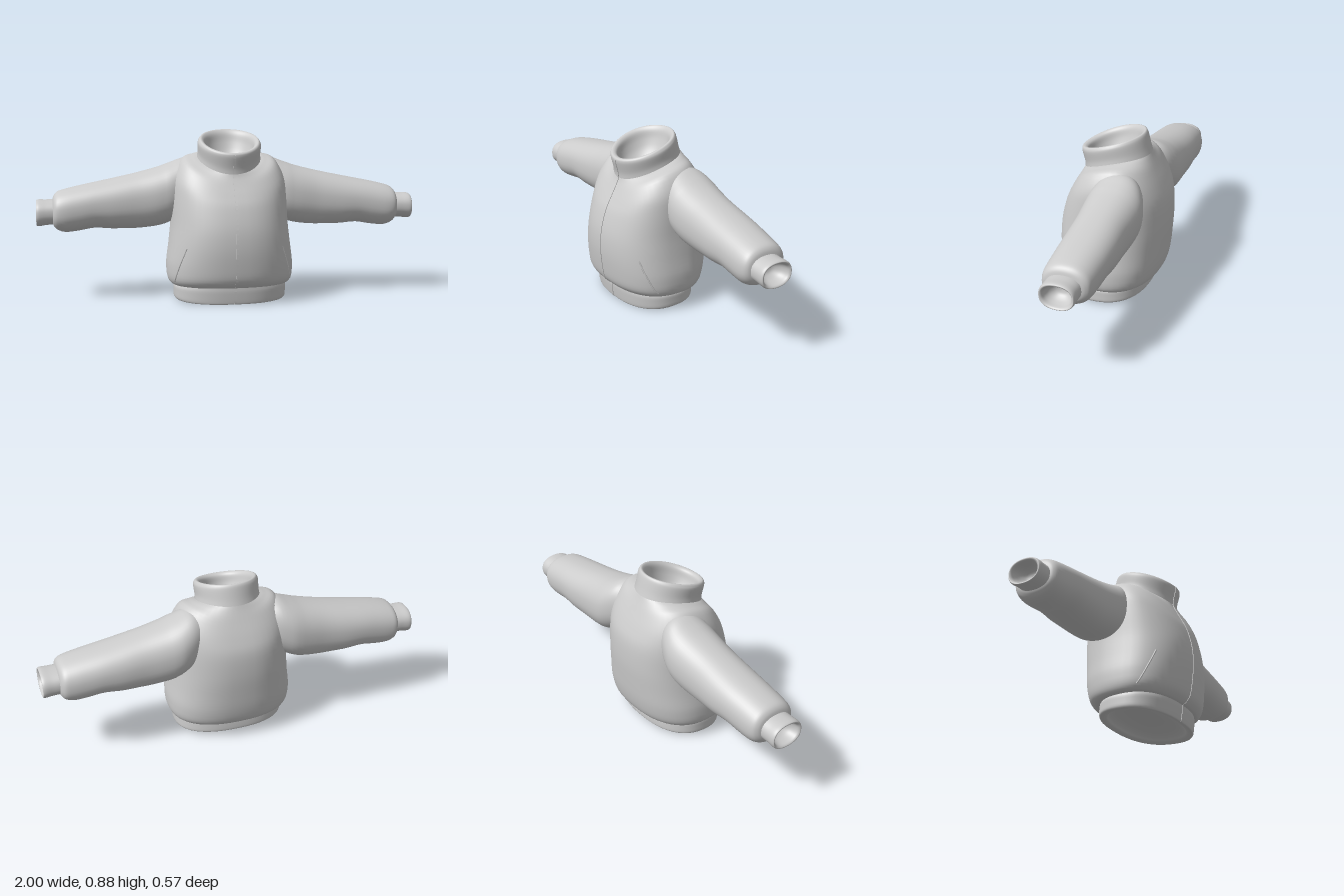
import * as THREE from 'three';

const SEG = 48, SUB = 4;
const spow = (v, n) => Math.sign(v) * Math.pow(Math.abs(v), 2 / n);

// Smooth in-between rings, never overshooting the given ones
function dense(rings) {
  const out = [];
  for (let i = 0; i < rings.length - 1; i++) {
    const a = rings[Math.max(i - 1, 0)], b = rings[i], c = rings[i + 1], d = rings[Math.min(i + 2, rings.length - 1)];
    for (let k = 0; k < SUB; k++) {
      const t = k / SUB;
      out.push(b.map((p, j) => {
        const v = p + 0.5 * t * (c[j] - a[j] + t * (2 * a[j] - 5 * p + 4 * c[j] - d[j] + t * (3 * (p - c[j]) + d[j] - a[j])));
        return Math.min(Math.max(v, Math.min(p, c[j])), Math.max(p, c[j]));
      }));
    }
  }
  out.push(rings[rings.length - 1]);
  return out;
}

// Body ring: half width, front z, back z, front y, back y, side lift, roundness
function bodyPoint([w, zF, zB, yF, yB, lift, n], a) {
  const sx = spow(Math.sin(a), n), sz = spow(Math.cos(a), n), t = (1 - sz) / 2;
  return [w * sx, yF + (yB - yF) * t + lift * sx * sx, zF + (zB - zF) * t];
}

// Sleeve ring: x, top y, bottom y, front z, back z
function sleevePoint([x, yT, yB, zF, zB], a) {
  const cy = spow(Math.cos(a), 2.3), cz = spow(Math.sin(a), 2.3);
  return [x, (yT + yB) / 2 + cy * (yT - yB) / 2, (zF + zB) / 2 + cz * (zF - zB) / 2];
}

// Skin of closed loops; side = -1 mirrors in x
function loft(rings, point, side = 1) {
  const pos = [], idx = [], rows = dense(rings);
  rows.forEach((r) => {
    for (let j = 0; j < SEG; j++) {
      const p = point(r, (j / SEG) * Math.PI * 2);
      pos.push(p[0] * side, p[1], p[2]);
    }
  });
  for (let i = 0; i < rows.length - 1; i++) {
    for (let j = 0; j < SEG; j++) {
      const a = i * SEG + j, b = i * SEG + (j + 1) % SEG, c = a + SEG, d = b + SEG;
      if (side > 0) idx.push(a, b, c, b, d, c);
      else idx.push(a, c, b, b, c, d);
    }
  }
  const g = new THREE.BufferGeometry();
  g.setAttribute('position', new THREE.Float32BufferAttribute(pos, 3));
  g.setIndex(idx);
  g.computeVertexNormals();
  return g;
}

// Hollow inside an opening, shrinking from the rim to its deepest point
const steps = [[0.92, 0.1], [0.85, 0.35], [0.7, 0.65], [0.4, 0.92], [0, 1]];
const bodyBowl = ([w, zF, zB, yF, yB, lift, n], depth) => steps.map(([s, d]) => {
  const z = (zF + zB) / 2, y = (yF + yB) / 2;
  return [w * s, z + (zF - z) * s, z + (zB - z) * s, y + (yF - y) * s + depth * d, y + (yB - y) * s + depth * d, lift * s, n];
});
const cuffBowl = ([x, yT, yB, zF, zB], depth) => steps.map(([s, d]) => {
  const y = (yT + yB) / 2, z = (zF + zB) / 2;
  return [x - depth * d, y + (yT - y) * s, y + (yB - y) * s, z + (zF - z) * s, z + (zB - z) * s];
});

export function createModel() {
  const jacket = new THREE.Group();
  jacket.name = 'jacket';
  const fabric = new THREE.MeshStandardMaterial({ color: 0xcccccc });
  fabric.name = 'grey fabric';
  const add = (name, geometry) => {
    const m = new THREE.Mesh(geometry, fabric);
    m.name = name;
    jacket.add(m);
  };

  // Waistband with a hollow underside
  const hemRim = [0.275, 0.195, -0.172, 0.002, 0.024, 0, 2.4];
  const hem = [
    ...bodyBowl(hemRim, 0.06).reverse(), hemRim,
    [0.288, 0.207, -0.185, 0.002, 0.024, 0, 2.4],
    [0.296, 0.212, -0.19, 0.02, 0.036, 0, 2.4],
    [0.296, 0.218, -0.189, 0.07, 0.075, 0, 2.4],
    [0.290, 0.218, -0.187, 0.09, 0.088, 0, 2.4],
  ];
  add('waistband', loft(hem, bodyPoint));

  // Torso, bulging over the waistband and closing to the neck
  const torso = [
    hem[hem.length - 1],
    [0.312, 0.235, -0.215, 0.096, 0.092, 0, 2.4],
    [0.328, 0.262, -0.245, 0.13, 0.125, 0, 2.4],
    [0.331, 0.276, -0.264, 0.2, 0.2, 0, 2.4],
    [0.318, 0.285, -0.275, 0.3, 0.3, 0, 2.4],
    [0.306, 0.279, -0.283, 0.4, 0.42, 0, 2.4],
    [0.300, 0.253, -0.277, 0.5, 0.54, 0.03, 2.4],
    [0.288, 0.225, -0.25, 0.56, 0.62, 0.06, 2.4],
    [0.245, 0.198, -0.212, 0.61, 0.7, 0.075, 2.3],
    [0.195, 0.178, -0.188, 0.65, 0.75, 0.045, 2.15],
    [0.166, 0.171, -0.177, 0.67, 0.775, 0.025, 2],
  ];
  add('torso', loft(torso, bodyPoint));

  // Standing collar, higher at the back
  const collarRim = [0.140, 0.166, -0.130, 0.778, 0.876, 0.008, 2];
  const collar = [
    torso[torso.length - 1],
    [0.163, 0.174, -0.168, 0.7, 0.805, 0.02, 2],
    [0.165, 0.187, -0.155, 0.75, 0.855, 0.012, 2],
    [0.160, 0.189, -0.148, 0.77, 0.874, 0.008, 2],
    [0.151, 0.180, -0.140, 0.78, 0.881, 0.008, 2],
    collarRim, ...bodyBowl(collarRim, -0.16),
  ];
  add('collar', loft(collar, bodyPoint));

  // Sleeves and cuffs
  const sleeve = [
    [0.14, 0.70, 0.50, 0.0, -0.16],
    [0.22, 0.737, 0.45, 0.04, -0.21],
    [0.30, 0.714, 0.405, 0.062, -0.235],
    [0.37, 0.69, 0.383, 0.064, -0.232],
    [0.48, 0.662, 0.372, 0.058, -0.222],
    [0.60, 0.636, 0.372, 0.058, -0.22],
    [0.70, 0.616, 0.379, 0.056, -0.214],
    [0.78, 0.600, 0.367, 0.056, -0.207],
    [0.85, 0.584, 0.361, 0.055, -0.2],
    [0.89, 0.571, 0.373, 0.048, -0.192],
    [0.908, 0.553, 0.39, 0.035, -0.175],
    [0.915, 0.532, 0.402, 0.02, -0.158],
  ];
  const cuffRim = [0.998, 0.520, 0.404, 0.010, -0.148];
  const cuff = [
    sleeve[sleeve.length - 1],
    [0.95, 0.531, 0.400, 0.021, -0.157],
    [0.985, 0.532, 0.395, 0.022, -0.158],
    [1.0, 0.527, 0.398, 0.017, -0.154],
    cuffRim, ...cuffBowl(cuffRim, 0.08),
  ];
  for (const [side, label] of [[1, 'left'], [-1, 'right']]) {
    add(label + 'Sleeve', loft(sleeve, sleevePoint, side));
    add(label + 'Cuff', loft(cuff, sleevePoint, side));

    // Slanted pocket seam
    const rows = dense(torso).filter((r) => r[3] > 0.11 && r[3] < 0.31);
    const path = rows.map((r, i) => {
      const p = bodyPoint(r, 1.16 - 0.32 * i / (rows.length - 1));
      return new THREE.Vector3(p[0] * side, p[1], p[2]);
    });
    add(label + 'PocketSeam', new THREE.TubeGeometry(new THREE.CatmullRomCurve3(path), 24, 0.004, 6));
  }

  // Front zip following the profile from hem to collar
  const profile = [...dense(hem.slice(-4)), ...dense(torso), ...dense(collar.slice(0, 4))].map((r) => [r[1], r[3]]);
  const outline = [
    ...profile.map(([z, y]) => new THREE.Vector2(z + 0.003, y)),
    ...profile.map(([z, y]) => new THREE.Vector2(z - 0.006, y)).reverse(),
  ];
  const zip = new THREE.ExtrudeGeometry(new THREE.Shape(outline), { depth: 0.012, bevelEnabled: false });
  zip.rotateY(-Math.PI / 2).translate(0.006, 0, 0);
  add('frontZip', zip);

  return jacket;
}
